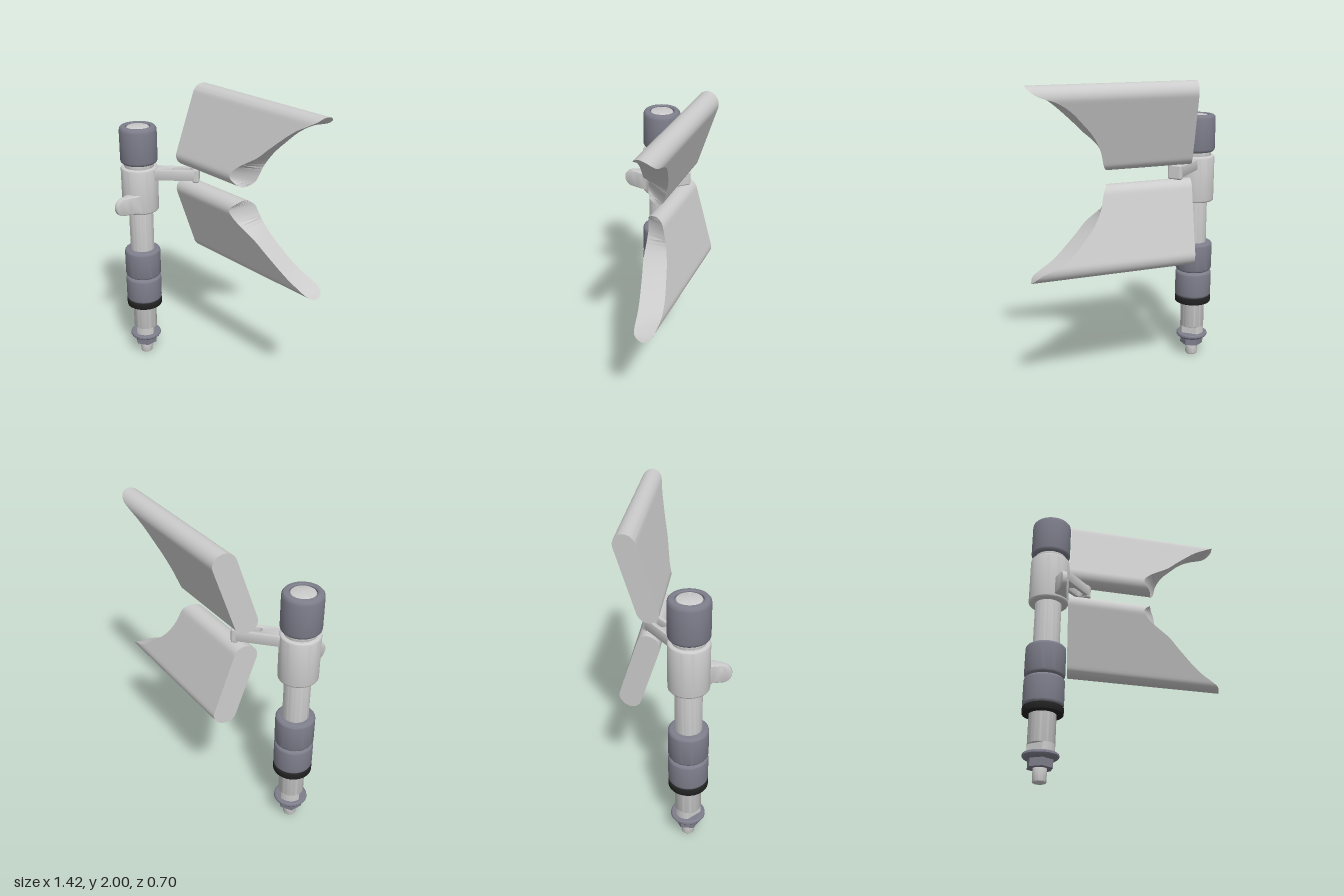
import * as THREE from 'three';
import { toCreasedNormals } from 'three/addons/utils/BufferGeometryUtils.js';
import { RoundedBoxGeometry } from 'three/addons/geometries/RoundedBoxGeometry.js';

const mat = (color) => new THREE.MeshStandardMaterial({ color });
const light = mat(0xcccccc), slate = mat(0x7d7e8b), black = mat(0x222222);
const AXIS_X = -0.587, AXIS_Z = 0.105;

function add(parent, name, geo, material, crease = 0.6) {
  const mesh = new THREE.Mesh(crease ? toCreasedNormals(geo, crease) : geo, material);
  mesh.name = name;
  parent.add(mesh);
  return mesh;
}

const lathe = (pts, n = 48) =>
  new THREE.LatheGeometry(pts.map(([r, y]) => new THREE.Vector2(r, y)), n);

// Solid round piece with rounded rims
function drum(y0, y1, r, b) {
  const pts = [[0, y0]];
  for (let i = 0; i <= 4; i++) {
    const a = (i / 4) * Math.PI / 2;
    pts.push([r - b + b * Math.sin(a), y0 + b - b * Math.cos(a)]);
  }
  for (let i = 0; i <= 4; i++) {
    const a = (i / 4) * Math.PI / 2;
    pts.push([r - b + b * Math.cos(a), y1 - b + b * Math.sin(a)]);
  }
  pts.push([0, y1]);
  return lathe(pts);
}

// Piecewise-linear lookup smoothed through a curve of [s, x] points
function edgeCurve(pts) {
  const curve = new THREE.CatmullRomCurve3(pts.map(([s, x]) => new THREE.Vector3(s, x, 0)), false, 'centripetal');
  const samples = curve.getPoints(160);
  return (s) => {
    const k = samples.findIndex((p) => p.x >= s);
    if (k < 0) return samples[samples.length - 1].y;
    if (k === 0) return samples[0].y;
    const a = samples[k - 1], b = samples[k];
    return a.y + (b.y - a.y) * (s - a.x) / (b.x - a.x);
  };
}

// Vane: capsule section lofted from a slanted flat end to a scooped end
function vaneGeometry(mirror) {
  const r = 0.072, len = 0.416, tilt = 0.311;
  const c = Math.cos(tilt), sn = Math.sin(tilt);
  const front = edgeCurve([[-0.072, 0.14], [-0.035, 0.105], [0, 0.115], [0.04, 0.15], [0.09, 0.22],
    [0.143, 0.3], [0.22, 0.38], [0.36, 0.54], [0.416, 0.635], [0.45, 0.685], [0.488, 0.705]]);
  const back = edgeCurve([[-0.072, 0.19], [-0.02, 0.21], [0.095, 0.245], [0.19, 0.3], [0.27, 0.37],
    [0.36, 0.46], [0.416, 0.55], [0.45, 0.65], [0.488, 0.715]]);

  // Half section: chord position s and half thickness h
  const half = [];
  for (let i = 0; i <= 10; i++) {
    const a = (i / 10) * Math.PI / 2;
    half.push([-r * Math.cos(a), r * Math.sin(a)]);
  }
  for (let i = 1; i < 24; i++) half.push([len * i / 24, r]);
  for (let i = 0; i <= 10; i++) {
    const a = (i / 10) * Math.PI / 2;
    half.push([len + r * Math.sin(a), r * Math.cos(a)]);
  }
  const n = half.length, pos = [], idx = [];
  const point = (s, h, right) => {
    const y = 1.532 + s * c + h * sn, z = -0.141 - s * sn + h * c;
    const t = (h / r + 1) / 2;
    const x = right ? back(s) * (1 - t) + front(s) * t : -0.44 - 0.26 * z;
    pos.push(x, mirror ? 2.83 - y : y, z + 0.03 * x);
  };
  // Vertex blocks: front left, front right, back left, back right
  for (const side of [1, -1]) for (const right of [false, true])
    for (const [s, h] of half) point(s, h * side, right);
  const quad = (a, b, d, e) => mirror ? idx.push(a, d, b, a, e, d) : idx.push(a, b, d, a, d, e);
  for (let i = 0; i < n - 1; i++) {
    const fl = i, fr = n + i, bl = 2 * n + i, br = 3 * n + i;
    quad(fl, fr, fr + 1, fl + 1);
    quad(br, bl, bl + 1, br + 1);
    quad(bl, fl, fl + 1, bl + 1);
    quad(fr, br, br + 1, fr + 1);
  }
  const geo = new THREE.BufferGeometry();
  geo.setAttribute('position', new THREE.Float32BufferAttribute(pos, 3));
  geo.setIndex(idx);
  return geo;
}

export function createModel() {
  const model = new THREE.Group();
  model.name = 'twinVanePost';
  const post = new THREE.Group();
  post.name = 'post';
  post.position.set(AXIS_X, 0, AXIS_Z);
  model.add(post);

  // Threaded end, nut and flange
  add(post, 'stud', drum(0, 0.1, 0.042, 0.01), light);
  add(post, 'hexNut', new THREE.CylinderGeometry(0.08, 0.08, 0.06, 6).translate(0, 0.115, 0), slate, 0.3);
  add(post, 'flange', lathe([[0, 0.135], [0.085, 0.135], [0.104, 0.147], [0.11, 0.156],
    [0.108, 0.168], [0.1, 0.174], [0, 0.174]]), slate);

  // Shaft with two flats at the foot
  const foot = new THREE.CylinderGeometry(0.083, 0.083, 0.06, 64).translate(0, 0.198, 0);
  const fp = foot.attributes.position;
  for (let i = 0; i < fp.count; i++) fp.setX(i, THREE.MathUtils.clamp(fp.getX(i), -0.062, 0.062));
  add(post, 'shaftFlats', foot.rotateY(Math.PI / 4), light, 0.3);
  add(post, 'shaft', drum(0.225, 1.5, 0.083, 0.003), light);

  // Collars, seal, swivel body and cap
  add(post, 'sealRing', drum(0.412, 0.458, 0.125, 0.005), black);
  add(post, 'lowerCollar', drum(0.455, 0.645, 0.125, 0.022), slate);
  add(post, 'middleCollar', drum(0.647, 0.855, 0.125, 0.022), slate);
  add(post, 'swivelBody', drum(1.15, 1.465, 0.125, 0.014), light);
  add(post, 'neck', drum(1.45, 1.51, 0.1, 0.008), light);
  add(post, 'topCollar', lathe([[0, 1.49], [0.103, 1.49], [0.114, 1.493], [0.122, 1.501], [0.125, 1.512],
    [0.125, 1.715], [0.122, 1.729], [0.114, 1.739], [0.1, 1.743], [0.088, 1.743], [0.081, 1.738], [0.081, 1.725], [0, 1.725]]), slate);
  add(post, 'topPlug', drum(1.7, 1.738, 0.075, 0.006), light);

  // Slotted arm reaching diagonally toward the vanes
  const arm = new THREE.Group();
  arm.name = 'arm';
  arm.rotation.y = 0.73;
  post.add(arm);
  const plan = new THREE.Shape();
  plan.moveTo(0.06, -0.048);
  plan.lineTo(0.39, -0.042);
  plan.lineTo(0.39, 0.042);
  plan.lineTo(0.06, 0.048);
  const slot = new THREE.Path();
  slot.absarc(0.25, 0, 0.028, Math.PI / 2, Math.PI * 1.5, false);
  slot.absarc(0.335, 0, 0.028, -Math.PI / 2, Math.PI / 2, false);
  plan.holes.push(slot);
  const bar = new THREE.ExtrudeGeometry(plan, { depth: 0.064, bevelSize: 0.005, bevelThickness: 0.005, bevelSegments: 2, curveSegments: 16 });
  add(arm, 'slottedBar', bar.rotateX(-Math.PI / 2).translate(0, 1.385, 0), light);
  add(arm, 'armEnd', new RoundedBoxGeometry(0.045, 0.1, 0.095, 3, 0.015).translate(0.385, 1.415, 0), light, 0);

  // Thumb lever, flaring where it meets the body
  const side = new THREE.Shape();
  side.moveTo(0.07, -0.057);
  side.lineTo(0.14, -0.057);
  side.absarc(0.187, 0, 0.057, -Math.PI / 2, Math.PI / 2, false);
  side.lineTo(0.14, 0.057);
  side.lineTo(0.07, 0.057);
  const lever = new THREE.ExtrudeGeometry(side, { depth: 0.02, bevelSize: 0.004, bevelThickness: 0.005, bevelSegments: 2, curveSegments: 20 });
  lever.translate(0, 0, -0.01).rotateY(-Math.PI / 2);
  const lp = lever.attributes.position;
  for (let i = 0; i < lp.count; i++) {
    const t = THREE.MathUtils.clamp((0.245 - lp.getZ(i)) / 0.15, 0, 1);
    lp.setX(i, lp.getX(i) * (1 + 2.4 * t * t) + 0.052);
  }
  add(post, 'thumbLever', lever.translate(0, 1.232, 0), light);

  // Pair of vanes mirrored above and below the arm
  add(model, 'upperVane', vaneGeometry(false), light);
  add(model, 'lowerVane', vaneGeometry(true), light);
  return model;
}
